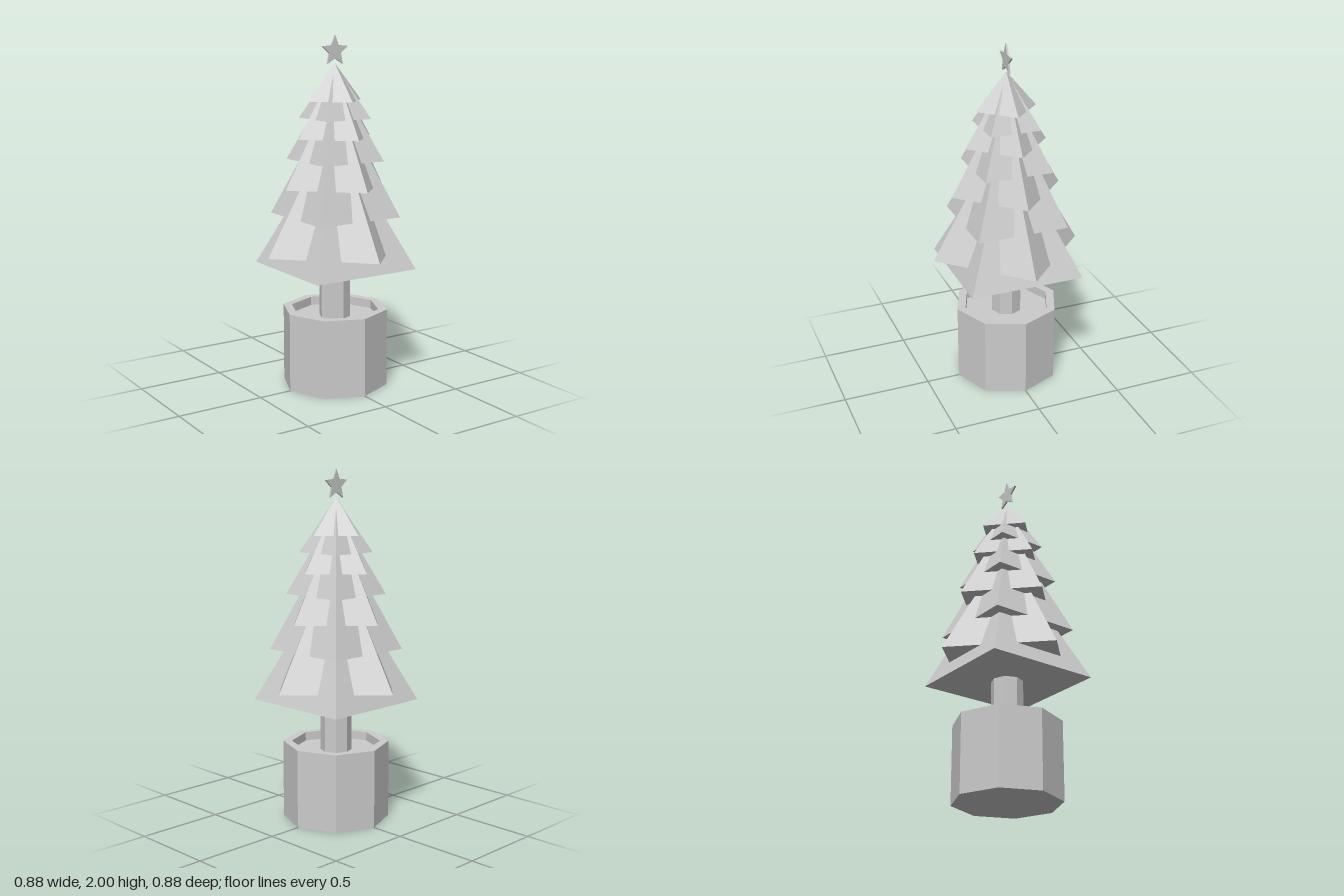
import * as THREE from 'three';

export function createModel() {
  const group = new THREE.Group();
  const material = new THREE.MeshStandardMaterial({ color: 0xcccccc, flatShading: true });
  const add = (name, geometry, y = 0) => {
    const mesh = new THREE.Mesh(geometry, material);
    mesh.name = name;
    mesh.position.y = y;
    group.add(mesh);
    return mesh;
  };

  // Octagonal pot with a raised rim around the soil
  const potProfile = [[0, 0], [0.305, 0], [0.305, 0.45], [0.255, 0.45], [0.255, 0.4], [0, 0.4]]
    .map(([r, y]) => new THREE.Vector2(r, y));
  add('pot', new THREE.LatheGeometry(potProfile, 8));

  // Trunk
  add('trunk', new THREE.CylinderGeometry(0.09, 0.09, 0.4, 8), 0.55);

  // Four-sided foliage tiers, each turned 45 degrees from the one below:
  // [base height, corner radius, tip height]
  const tiers = [
    [0.695, 0.467, 1.46], [0.79, 0.439, 1.56], [0.99, 0.375, 1.67], [1.16, 0.323, 1.74],
    [1.305, 0.28, 1.78], [1.435, 0.239, 1.82], [1.54, 0.206, 1.84], [1.64, 0.176, 1.847],
  ];
  tiers.forEach(([base, radius, tip], i) => {
    const tier = add('foliageTier' + (i + 1), new THREE.ConeGeometry(radius, tip - base, 4), (base + tip) / 2);
    tier.rotation.y = i % 2 ? 0 : Math.PI / 4;
  });

  // Thin five-pointed star
  const points = [];
  for (let i = 0; i < 10; i++) {
    const r = i % 2 ? 0.04 : 0.087;
    const a = Math.PI / 2 + i * Math.PI / 5;
    points.push(new THREE.Vector2(r * Math.cos(a), r * Math.sin(a)));
  }
  const star = new THREE.ExtrudeGeometry(new THREE.Shape(points), { depth: 0.01, bevelEnabled: false });
  star.translate(0, 0, -0.005);
  add('star', star, 1.913);

  return group;
}
